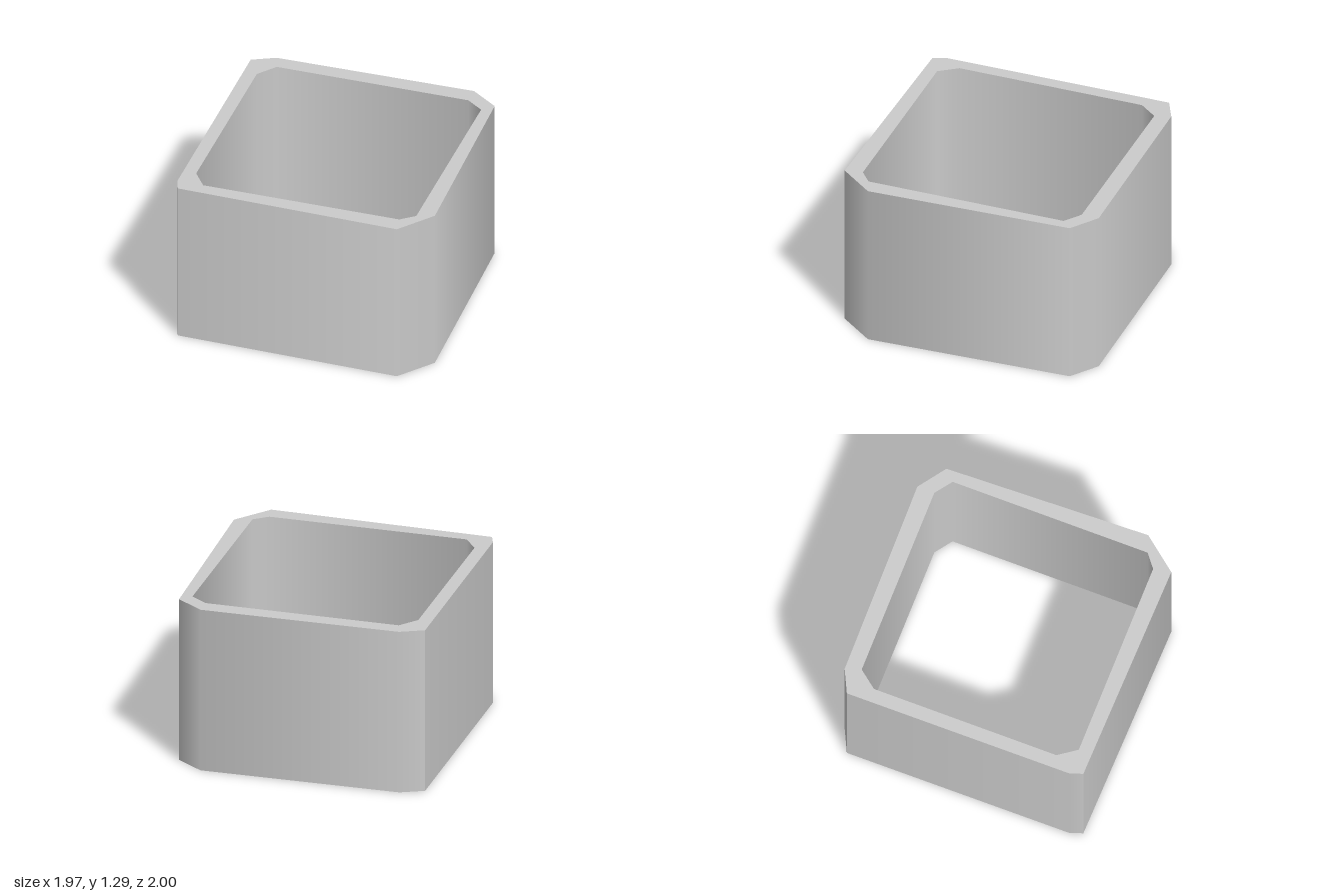
import * as THREE from 'three';

const HEIGHT = 1.29;
const material = new THREE.MeshStandardMaterial({ color: 0xcccccc });

// Plan outlines as [x, z], going round from the back right corner
const OUTER = [
  [-0.985, -0.9], [-0.81, -0.985], [0.725, -1], [0.935, -0.85],
  [0.985, 0.735], [0.775, 1], [-0.945, 0.965], [-0.98, 0.87],
];
const INNER = [
  [-0.88, -0.725], [-0.77, -0.865], [0.725, -0.865], [0.855, -0.77],
  [0.855, 0.78], [0.75, 0.865], [-0.78, 0.865], [-0.88, 0.725],
];

// Upright wall along an outline: corners under 60 degrees are smooth, the rest sharp
function wallGeometry(outline) {
  const count = outline.length;
  const faceNormals = outline.map(([x, z], i) => {
    const [nextX, nextZ] = outline[(i + 1) % count];
    return new THREE.Vector3(nextZ - z, 0, x - nextX).normalize();
  });
  const positions = [], normals = [], indices = [];
  for (let i = 0; i < count; i++) {
    const next = (i + 1) % count;
    const own = faceNormals[i];
    const ends = [[outline[i], faceNormals[(i + count - 1) % count]], [outline[next], faceNormals[next]]];
    for (const [[x, z], neighbour] of ends) {
      const normal = own.clone();
      if (own.dot(neighbour) > 0.5) normal.add(neighbour).normalize();
      positions.push(x, 0, z, x, HEIGHT, z);
      normals.push(...normal, ...normal);
    }
    const k = i * 4;
    indices.push(k, k + 1, k + 3, k, k + 3, k + 2);
  }
  const geometry = new THREE.BufferGeometry();
  geometry.setAttribute('position', new THREE.Float32BufferAttribute(positions, 3));
  geometry.setAttribute('normal', new THREE.Float32BufferAttribute(normals, 3));
  geometry.setIndex(indices);
  return geometry;
}

// Flat ring between the outlines, facing up (side = 1) or down (side = -1)
function rimGeometry(side) {
  const toPoints = (outline) => outline.map(([x, z]) => new THREE.Vector2(x, -side * z));
  const shape = new THREE.Shape(toPoints(OUTER));
  shape.holes.push(new THREE.Path(toPoints(INNER)));
  return new THREE.ShapeGeometry(shape).rotateX(-side * Math.PI / 2);
}

export function createModel() {
  const group = new THREE.Group();
  group.name = 'squareTube';
  const add = (name, geometry, y = 0) => {
    const mesh = new THREE.Mesh(geometry, material);
    mesh.name = name;
    mesh.position.y = y;
    group.add(mesh);
  };

  // Reversing the inner outline turns its wall towards the opening
  add('outerWall', wallGeometry(OUTER));
  add('innerWall', wallGeometry([...INNER].reverse()));
  add('topRim', rimGeometry(1), HEIGHT);
  add('bottomRim', rimGeometry(-1));
  return group;
}
